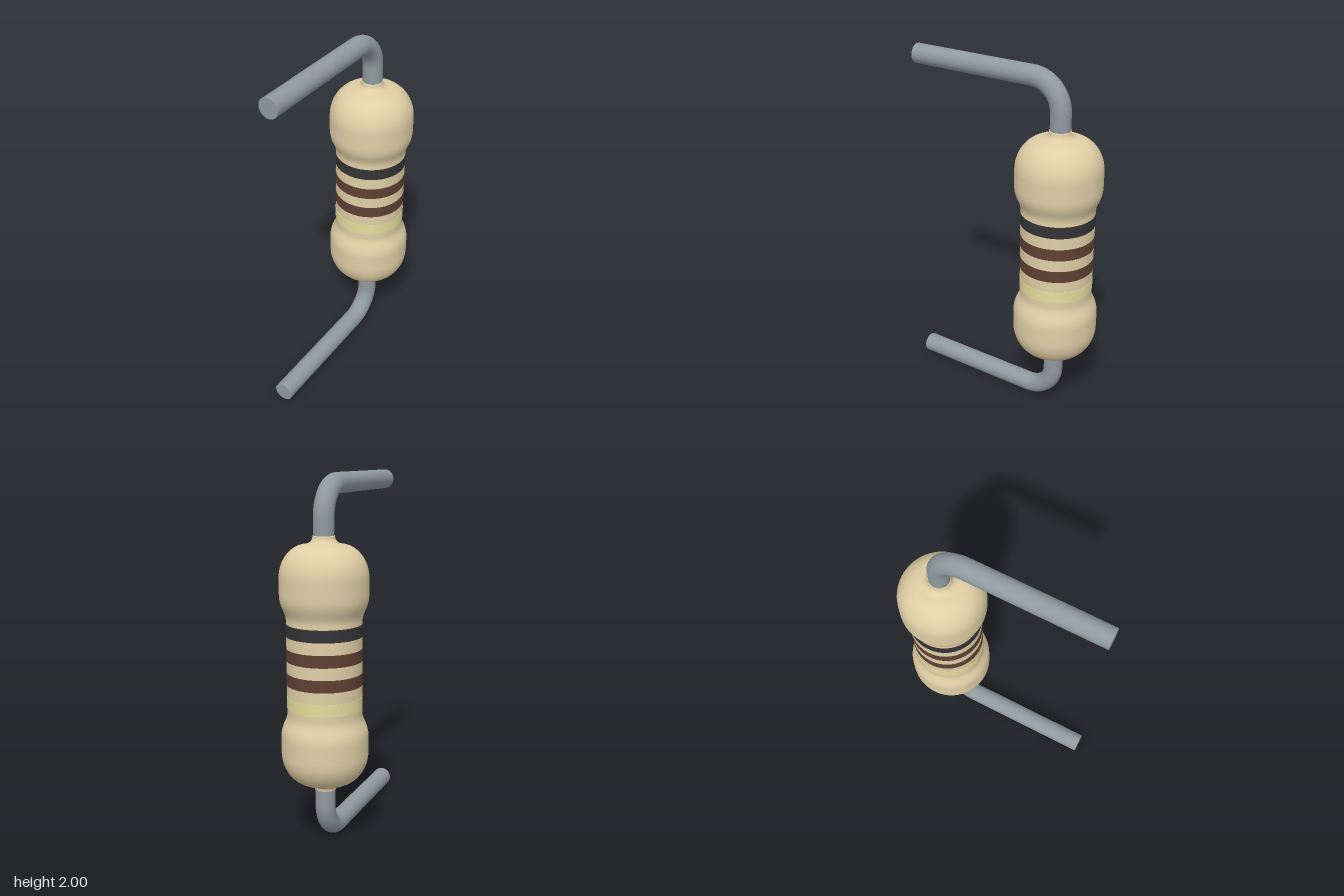
import * as THREE from 'three';

const AXIS_Z = -0.34;     // vertical axis of the body
const MID_Y = 1;          // the model mirrors about this height
const LEAD_R = 0.055;
const BEND_R = 0.17;
const LEAD_END = 0.575;

const paint = (color) => new THREE.MeshStandardMaterial({ color });

// Turned body: upper half profile (radius, height above middle), mirrored downward
function makeBody() {
  const half = new THREE.Path();
  half.moveTo(0.2, 0);
  half.lineTo(0.2, 0.25);
  half.bezierCurveTo(0.201, 0.3, 0.234, 0.315, 0.234, 0.385);
  half.lineTo(0.234, 0.47);
  half.bezierCurveTo(0.234, 0.56, 0.175, 0.635, 0.105, 0.642);
  half.bezierCurveTo(0.075, 0.645, 0.058, 0.66, 0.058, 0.687);
  half.lineTo(0.05, 0.687);
  const upper = half.getPoints(12);
  const lower = upper.slice(1).reverse().map((p) => new THREE.Vector2(p.x, -p.y));
  const body = new THREE.Mesh(new THREE.LatheGeometry([...lower, ...upper], 64), paint(0xe0cfa6));
  body.name = 'body';
  body.position.set(0, MID_Y, AXIS_Z);
  return body;
}

// Painted ring around the waist
function makeBand(name, y, color) {
  const band = new THREE.Mesh(new THREE.CylinderGeometry(0.2015, 0.2015, 0.065, 64), paint(color));
  band.name = name;
  band.position.set(0, y, AXIS_Z);
  return band;
}

// Bent wire: out of the body, round a quarter bend, then straight forward
function makeLead(name, side) {
  const at = (h, z) => new THREE.Vector3(0, MID_Y + side * h, z);
  const far = 1 - LEAD_R;
  const k = BEND_R * 0.5523;
  const bendZ = AXIS_Z + BEND_R;
  const path = new THREE.CurvePath();
  path.add(new THREE.LineCurve3(at(0.6, AXIS_Z), at(far - BEND_R, AXIS_Z)));
  path.add(new THREE.CubicBezierCurve3(
    at(far - BEND_R, AXIS_Z), at(far - BEND_R + k, AXIS_Z), at(far, bendZ - k), at(far, bendZ)));
  path.add(new THREE.LineCurve3(at(far, bendZ), at(far, LEAD_END)));

  const lead = new THREE.Group();
  lead.name = name;
  const material = paint(0x8f9a9f);
  const wire = new THREE.Mesh(new THREE.TubeGeometry(path, 80, LEAD_R, 32), material);
  wire.name = name + 'Wire';
  const tip = new THREE.Mesh(new THREE.CircleGeometry(LEAD_R, 32), material);
  tip.name = name + 'Tip';
  tip.position.copy(at(far, LEAD_END));
  lead.add(wire, tip);
  return lead;
}

export function createModel() {
  const model = new THREE.Group();
  model.name = 'resistor';
  model.add(
    makeBody(),
    makeBand('blackBand', 1.2, 0x333436),
    makeBand('upperBrownBand', 1.07, 0x5f4033),
    makeBand('lowerBrownBand', 0.94, 0x5f4033),
    makeBand('goldBand', 0.813, 0xe6dc9c),
    makeLead('upperLead', 1),
    makeLead('lowerLead', -1),
  );
  return model;
}
